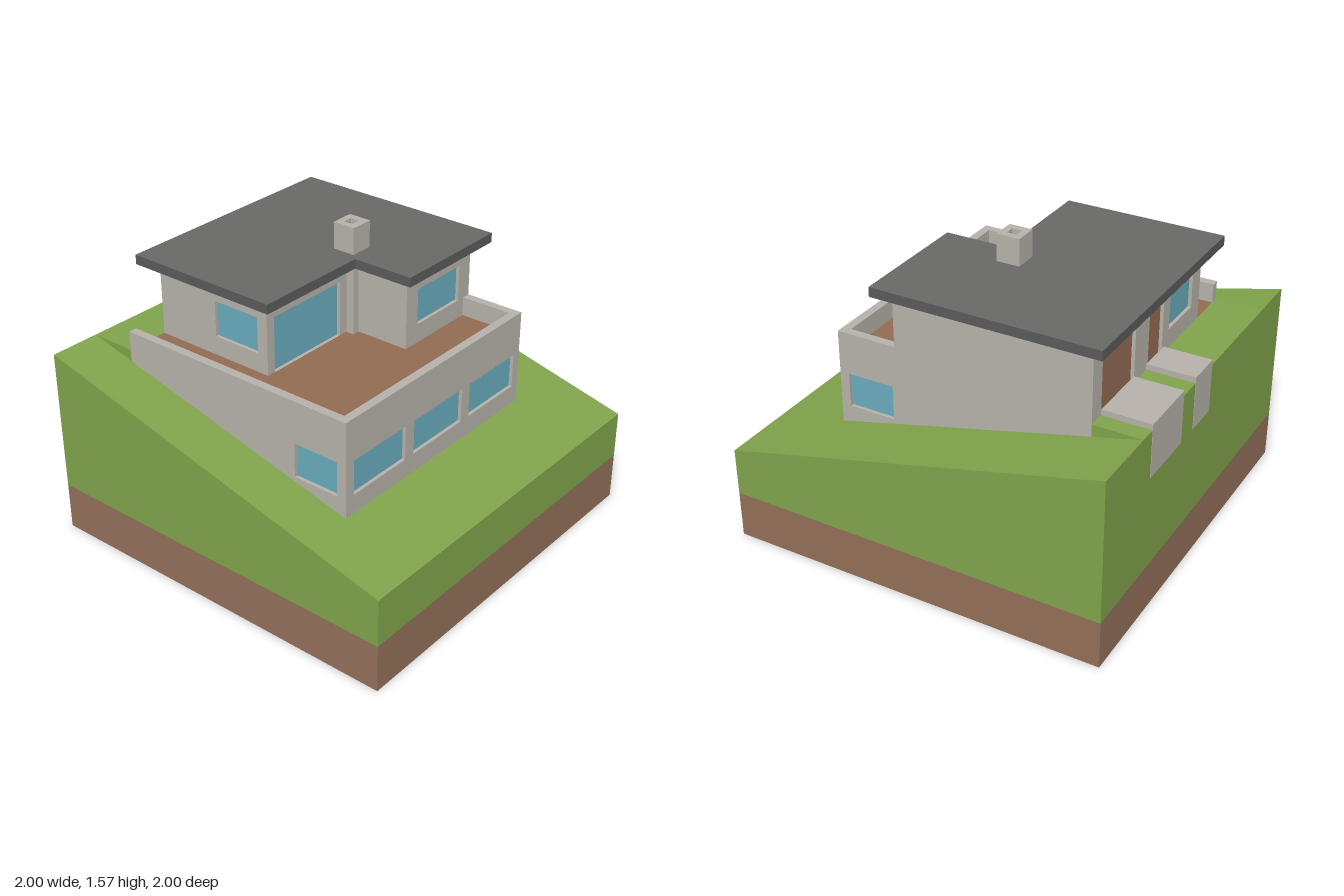
import * as THREE from 'three';

const T = 0.045; // wall thickness

export function createModel() {
  const house = new THREE.Group();
  house.name = 'hillsideHouse';

  const mat = (name, color, side = THREE.FrontSide) => {
    const m = new THREE.MeshStandardMaterial({ color, side });
    m.name = name;
    return m;
  };
  const grass = mat('grass', 0x7fa24b, THREE.DoubleSide);
  const soil = mat('soil', 0x916e58, THREE.DoubleSide);
  const stone = mat('stone', 0xb5b1a9);
  const glass = mat('glass', 0x69aabc);
  const wood = mat('wood', 0x926b51);
  const roofTop = mat('roofTop', 0x686766);
  const roofEdge = mat('roofEdge', 0x5a5a5a);

  const add = (name, geometry, material, parent = house) => {
    const mesh = new THREE.Mesh(geometry, material);
    mesh.name = name;
    parent.add(mesh);
    return mesh;
  };
  const shapeOf = (pts) => new THREE.Shape(pts.map(([x, y]) => new THREE.Vector2(x, y)));
  const rect = (a, b, c, d) => [[a, c], [b, c], [b, d], [a, d]];
  const box = (name, x0, x1, y0, y1, z0, z1, material) => {
    const g = new THREE.BoxGeometry(x1 - x0, y1 - y0, z1 - z0);
    g.translate((x0 + x1) / 2, (y0 + y1) / 2, (z0 + z1) / 2);
    return add(name, g, material);
  };
  const slope = (z) => 0.75 - 0.25 * z;

  // ---- Terrain: an open-bottomed shell ----
  const sheet = (name, pts, material, place) => {
    const g = new THREE.ShapeGeometry(shapeOf(pts));
    place(g);
    g.computeVertexNormals();
    return add(name, g, material);
  };
  for (const s of [1, -1]) {
    const side = (g) => g.rotateY(s * Math.PI / 2).translate(s, 0, 0);
    sheet('sideSoil', rect(-1, 1, 0, 0.25), soil, side);
    sheet('sideGrass', [[-s, 0.25], [s, 0.25], [s, 1], [-s, 0.5]], grass, side);
    const end = (g) => g.rotateY(s > 0 ? 0 : Math.PI).translate(0, 0, s);
    sheet('endSoil', rect(-1, 1, 0, 0.25), soil, end);
    sheet('endGrass', rect(-1, 1, 0.25, slope(s)), grass, end);
  }
  // Sloped lawn, cut out around the house
  sheet('lawn', [[-1, -1], [1, -1], [1, 1], [0.64, 1], [0.64, -0.6], [-0.73, -0.6], [-0.73, 1], [-1, 1]],
    grass, (g) => {
      g.rotateX(-Math.PI / 2);
      const p = g.attributes.position;
      for (let i = 0; i < p.count; i++) p.setY(i, slope(p.getZ(i)));
    });
  // Level yard behind the house
  sheet('backYard', rect(-0.73, 0.64, 0.75, 1), grass, (g) => g.rotateX(-Math.PI / 2).translate(0, 1, 0));
  for (const x of [-0.73, 0.64]) {
    sheet('yardBank', [[-1, 1], [-0.75, slope(-0.75)], [-0.75, 1]], grass,
      (g) => g.rotateY(-Math.PI / 2).translate(x, 0, 0));
  }
  box('driveway', 0.22, 0.55, 0.75, 1.03, -1.002, -0.75, stone);
  box('footpath', -0.1, 0.09, 0.75, 1.03, -1.002, -0.75, stone);

  // ---- Walls with openings; each opening is [u0, u1, y0, y1, material] ----
  // Built facing +z; sideways walls run along z with their +x face at 'at'.
  const wall = (name, pts, openings, at, sideways = false) => {
    const g = new THREE.Group();
    g.name = name;
    const shape = shapeOf(pts);
    for (const [a, b, c, d, m] of openings) {
      shape.holes.push(shapeOf(rect(a, b, c, d)));
      const pane = new THREE.BoxGeometry(b - a, d - c, 0.009);
      pane.translate((a + b) / 2, (c + d) / 2, T / 2);
      add(m === glass ? 'windowPane' : 'door', pane, m, g);
    }
    add('wallBody', new THREE.ExtrudeGeometry(shape, { depth: T, bevelEnabled: false }), stone, g);
    if (sideways) {
      g.rotation.y = -Math.PI / 2;
      g.position.x = at;
    } else {
      g.position.z = at - T;
    }
    house.add(g);
  };

  const sideWindow = [0.3, 0.55, 0.7, 0.88, glass];
  // Lower storey, its walls rising into the terrace parapet
  wall('lowerFrontWall', rect(-0.73, 0.64, 0.6, 1.1),
    [[-0.674, -0.295], [-0.23, 0.15], [0.213, 0.592]].map(([a, b]) => [a, b, 0.7, 0.88, glass]), 0.6);
  wall('lowerSideWall', [[0.6, slope(0.6)], [0.6, 1.1], [-0.75, 1.1], [-0.75, slope(-0.75)]],
    [sideWindow], -0.73 + T, true);
  wall('tallSideWall', [[0.6, slope(0.6)], [0.6, 1.1], [0.28, 1.1], [0.28, 1.38], [-0.75, 1.38], [-0.75, slope(-0.75)]],
    [sideWindow], 0.64, true);

  // Upper storey, L-shaped in plan
  wall('upperFrontWall', rect(-0.5, 0.14, 0.98, 1.38), [[-0.45, 0.03, 1, 1.29, glass]], -0.06);
  wall('wingFrontWall', rect(0.12, 0.6, 0.98, 1.38), [[0.21, 0.55, 1.1, 1.29, glass]], 0.28);
  wall('wingSideWall', rect(-0.08, 0.28 - T, 0.98, 1.38), [], 0.12 + T, true);
  wall('upperSideWall', rect(-0.75, -0.06 - T, 0.98, 1.38), [[-0.39, -0.12, 1.1, 1.29, glass]], -0.5 + T, true);
  wall('backWall', rect(-0.5 + T, 0.64 - T, 0.98, 1.38), [
    [0.22, 0.55, 1, 1.29, wood],
    [-0.08, 0.075, 1, 1.29, wood],
    [-0.41, -0.15, 1.1, 1.29, glass],
  ], -0.75 + T);

  // Terrace deck, continuing as the upper floor
  box('deck', -0.73 + T, 0.64 - T, 0.97, 1, -0.75, 0.6 - T, wood);

  // ---- Roof slab and chimney, extruded upwards from plan shapes (y = -z) ----
  const slab = (name, shape, y0, y1, material) => {
    const g = new THREE.ExtrudeGeometry(shape, { depth: y1 - y0, bevelEnabled: false });
    add(name, g.rotateX(-Math.PI / 2).translate(0, y0, 0), material);
  };
  slab('roof', shapeOf([[-0.58, -0.02], [0.05, -0.02], [0.05, -0.35], [0.72, -0.35], [0.72, 0.83], [-0.58, 0.83]]),
    1.38, 1.43, [roofTop, roofEdge]);
  const stack = shapeOf(rect(0.08, 0.204, 0.015, 0.138));
  stack.holes.push(shapeOf(rect(0.116, 0.168, 0.051, 0.103)));
  slab('chimney', stack, 0.98, 1.57, stone);

  return house;
}
